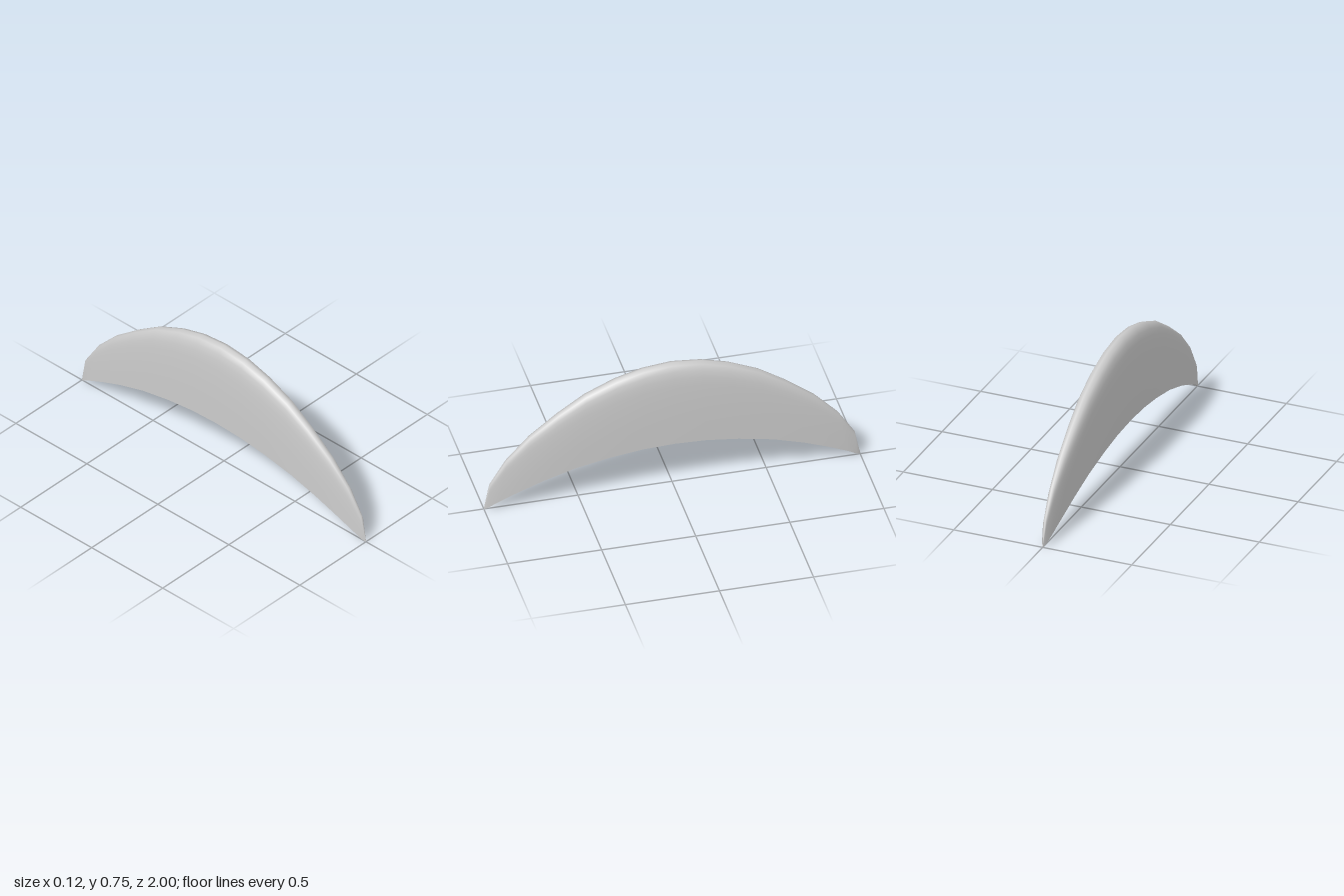
import * as THREE from 'three';

// Half of the crescent's side outline, from middle to tip: [outer z, outer y, inner z, inner y]
const HALF = [
  [0, 0.755, 0, 0.28], [0.155, 0.74, 0.17, 0.273], [0.3, 0.7, 0.34, 0.25],
  [0.46, 0.63, 0.525, 0.21], [0.605, 0.535, 0.69, 0.155], [0.755, 0.42, 0.82, 0.1],
  [0.88, 0.29, 0.93, 0.045], [0.97, 0.15, 0.98, 0.012], [1, 0.005, 1, 0],
];
const HALF_WIDTH = 0.061;

// Cross-section of one flank: [share of half width, share of height]
const FLANK = [
  [1, 0], [0.99, 0.26], [0.96, 0.47], [0.91, 0.61], [0.86, 0.74],
  [0.78, 0.84], [0.65, 0.92], [0.4, 0.98], [0, 1],
];

// Mirror the outline along z
const stations = [
  ...HALF.slice(1).reverse().map(([oz, oy, iz, iy]) => [-oz, oy, -iz, iy]),
  ...HALF,
];

// Surface swept through all stations with one cross-section
function loft(section) {
  const pos = [], index = [], n = section.length;
  stations.forEach(([oz, oy, iz, iy], i) => {
    const w = HALF_WIDTH * Math.sqrt(Math.max(0, 1 - iz * iz));
    section.forEach(([s, t], j) => {
      pos.push(w * s, iy + (oy - iy) * t, iz + (oz - iz) * t);
      if (i === 0 || j === 0) return;
      const d = i * n + j, c = d - 1, b = d - n, a = b - 1;
      index.push(a, b, c, b, d, c);
    });
  });
  const geo = new THREE.BufferGeometry();
  geo.setAttribute('position', new THREE.Float32BufferAttribute(pos, 3));
  geo.setIndex(index);
  geo.computeVertexNormals();
  return geo;
}

export function createModel() {
  const group = new THREE.Group();
  group.name = 'crescent';
  const material = new THREE.MeshStandardMaterial({ color: 0xcccccc, side: THREE.DoubleSide });
  const add = (name, section) => {
    const mesh = new THREE.Mesh(loft(section), material);
    mesh.name = name;
    group.add(mesh);
  };

  // Rounded shell: up the left flank, over the ridge, down the right flank
  const rightFlank = FLANK.slice(0, -1).reverse().map(([s, t]) => [-s, t]);
  add('roundedShell', [...FLANK, ...rightFlank]);

  // Curved underside with sharp edges
  add('underside', [[-1, 0], [0, 0], [1, 0]]);

  return group;
}
